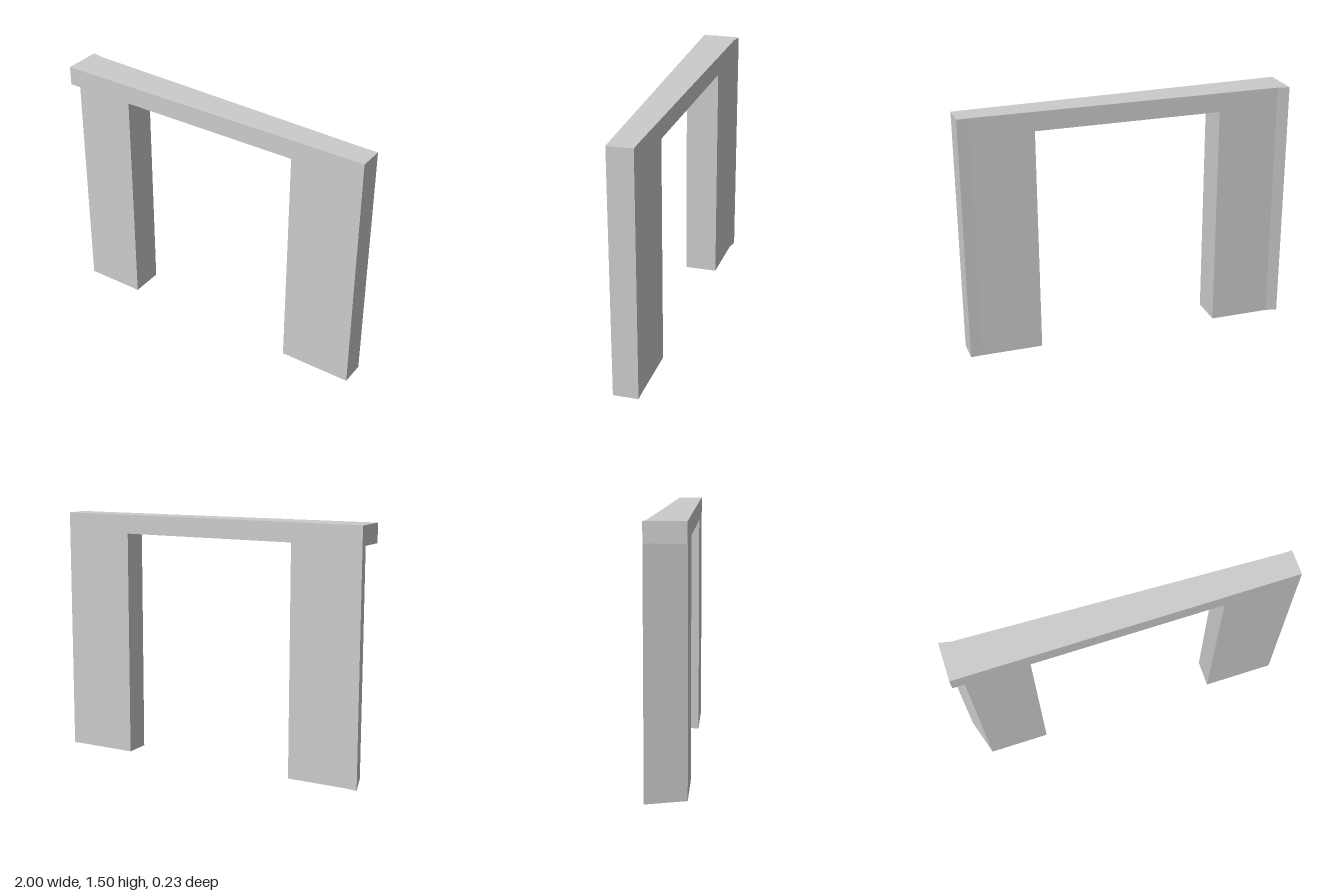
import * as THREE from 'three';

const HEIGHT = 1.5, OPENING_TOP = 1.385, OPENING_HALF = 0.56, KINK = 0.93, FRONT = 0.115;

// Back outline of the plan as [x, z]; the wall gets thinner towards +x
const BACK = [[-1, -0.115], [-KINK, -0.1], [KINK, -0.035], [1, -0.035]];

// Back z at a given x
function backZ(x) {
  for (let i = 1; i < BACK.length; i++) {
    const [x0, z0] = BACK[i - 1], [x1, z1] = BACK[i];
    if (x <= x1) return THREE.MathUtils.mapLinear(x, x0, x1, z0, z1);
  }
  return BACK[BACK.length - 1][1];
}

// Extrudes the plan between two x limits from bottom to top;
// frontStart lets the front corner sit further in than the back one
function slab(name, x0, x1, bottom, top, frontStart = x0) {
  const inner = BACK.filter(([x]) => x > x0 && x < x1);
  const plan = [[frontStart, FRONT], [x1, FRONT], [x1, backZ(x1)], ...inner.reverse(), [x0, backZ(x0)]];
  const shape = new THREE.Shape(plan.map(([x, z]) => new THREE.Vector2(x, -z)));
  const geometry = new THREE.ExtrudeGeometry(shape, { depth: top - bottom, bevelEnabled: false });
  geometry.rotateX(-Math.PI / 2);
  geometry.translate(0, bottom, 0);
  const mesh = new THREE.Mesh(geometry, new THREE.MeshStandardMaterial({ color: 0xcccccc, flatShading: true }));
  mesh.name = name;
  return mesh;
}

export function createModel() {
  const group = new THREE.Group();
  group.name = 'doorwayWall';
  group.add(
    // The right pier has a slanted outer end, so the lintel overhangs its front corner
    slab('rightPier', -1, -OPENING_HALF, 0, OPENING_TOP, -KINK),
    slab('leftPier', OPENING_HALF, 1, 0, OPENING_TOP),
    slab('lintel', -1, 1, OPENING_TOP, HEIGHT),
  );
  return group;
}
